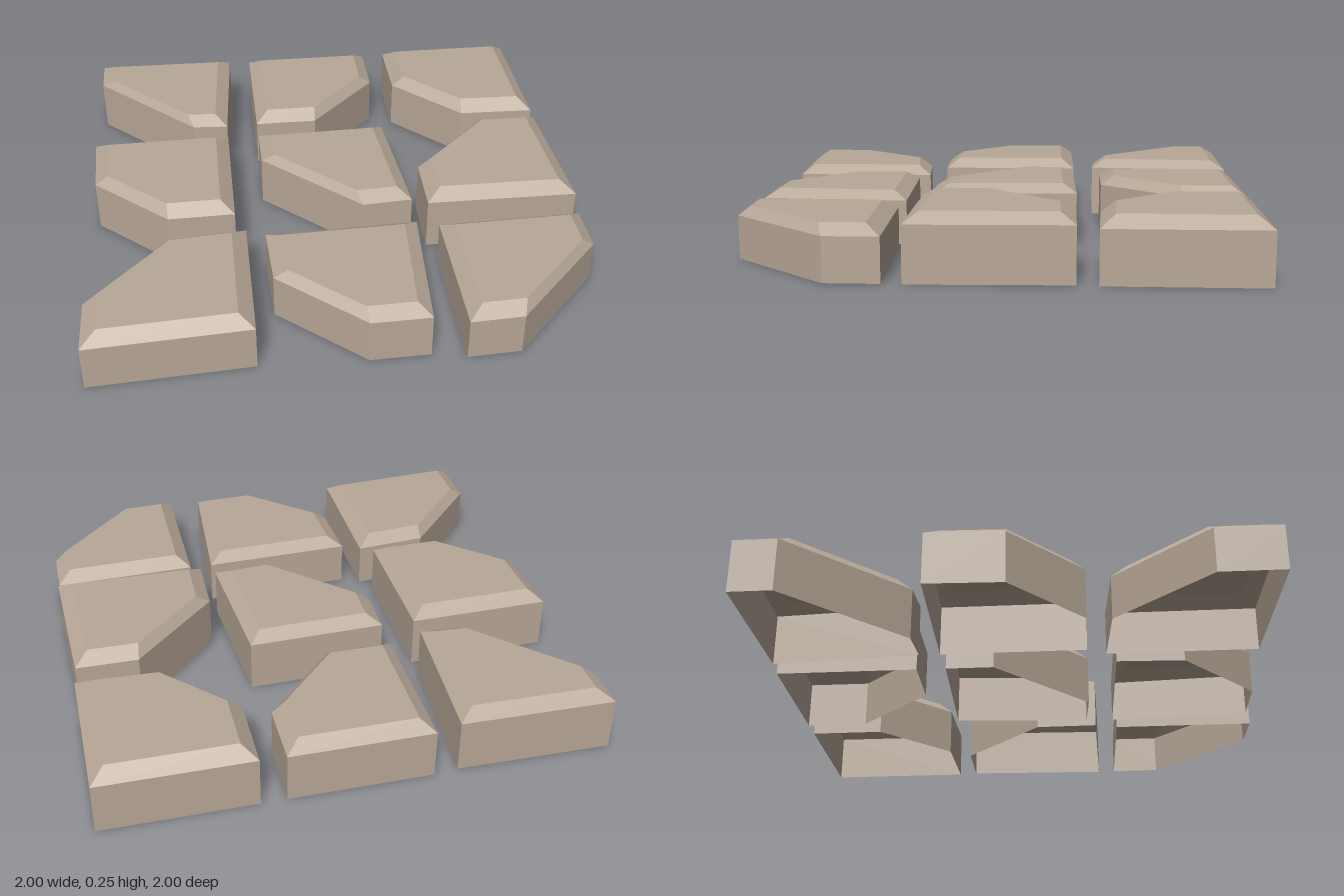
import * as THREE from 'three';

// Each paving stone: wall height, top height, then its five footprint corners as x, z
const STONES = {
  backLeftStone: [0.215, 0.25, -0.98, -1.0, -0.37, -0.99, -0.41, -0.39, -0.56, -0.4, -0.98, -0.83],
  backMiddleStone: [0.2, 0.24, -0.275, -1.0, 0.29, -1.0, 0.29, -0.74, -0.01, -0.42, -0.275, -0.42],
  backRightStone: [0.205, 0.25, 0.39, -1.0, 0.99, -1.0, 0.99, -0.39, 0.665, -0.4, 0.39, -0.69],
  middleLeftStone: [0.21, 0.25, -0.99, -0.295, -0.41, -0.305, -0.41, 0.28, -0.68, 0.285, -0.98, 0.005],
  centreStone: [0.21, 0.245, -0.275, -0.3, 0.28, -0.315, 0.32, 0.26, 0.115, 0.275, -0.275, -0.105],
  middleRightStone: [0.215, 0.255, 0.73, -0.31, 0.98, -0.31, 1.0, 0.305, 0.38, 0.3, 0.385, 0.035],
  frontLeftStone: [0.18, 0.22, -0.67, 0.38, -0.37, 0.355, -0.37, 0.955, -1.0, 0.995, -1.0, 0.745],
  frontMiddleStone: [0.18, 0.215, -0.295, 0.395, 0.32, 0.375, 0.28, 0.965, 0.045, 0.97, -0.285, 0.67],
  frontRightStone: [0.17, 0.21, 0.41, 0.395, 0.995, 0.38, 0.995, 0.59, 0.62, 0.985, 0.41, 0.995],
};
const TOP_SCALE = 0.81;

// Open-bottomed shell: upright walls, a bevel ring and a flat top
function stoneGeometry([wall, top, ...flat]) {
  const outline = [];
  for (let i = 0; i < flat.length; i += 2) outline.push(new THREE.Vector2(flat[i], flat[i + 1]));
  const centre = new THREE.Box2().setFromPoints(outline).getCenter(new THREE.Vector2());
  const ring = (y, scale) => outline.map((p) => {
    const q = p.clone().sub(centre).multiplyScalar(scale).add(centre);
    return [q.x, y, q.y];
  });
  const rings = [ring(0, 1), ring(wall, 1), ring(top, TOP_SCALE)];
  const n = outline.length;
  const pos = [];
  for (let r = 0; r < 2; r++) {
    for (let i = 0; i < n; i++) {
      const j = (i + 1) % n;
      const [lo, hi] = [rings[r], rings[r + 1]];
      pos.push(...lo[j], ...lo[i], ...hi[i], ...lo[j], ...hi[i], ...hi[j]);
    }
  }
  const cap = rings[2];
  for (let i = 1; i < n - 1; i++) pos.push(...cap[0], ...cap[i + 1], ...cap[i]);

  const geometry = new THREE.BufferGeometry();
  geometry.setAttribute('position', new THREE.Float32BufferAttribute(pos, 3));
  geometry.computeVertexNormals();
  return geometry;
}

export function createModel() {
  const group = new THREE.Group();
  group.name = 'pavingStones';
  const stone = new THREE.MeshStandardMaterial({ name: 'warm stone', color: 0xb8a898, side: THREE.DoubleSide });
  for (const [name, data] of Object.entries(STONES)) {
    const mesh = new THREE.Mesh(stoneGeometry(data), stone);
    mesh.name = name;
    group.add(mesh);
  }
  return group;
}
